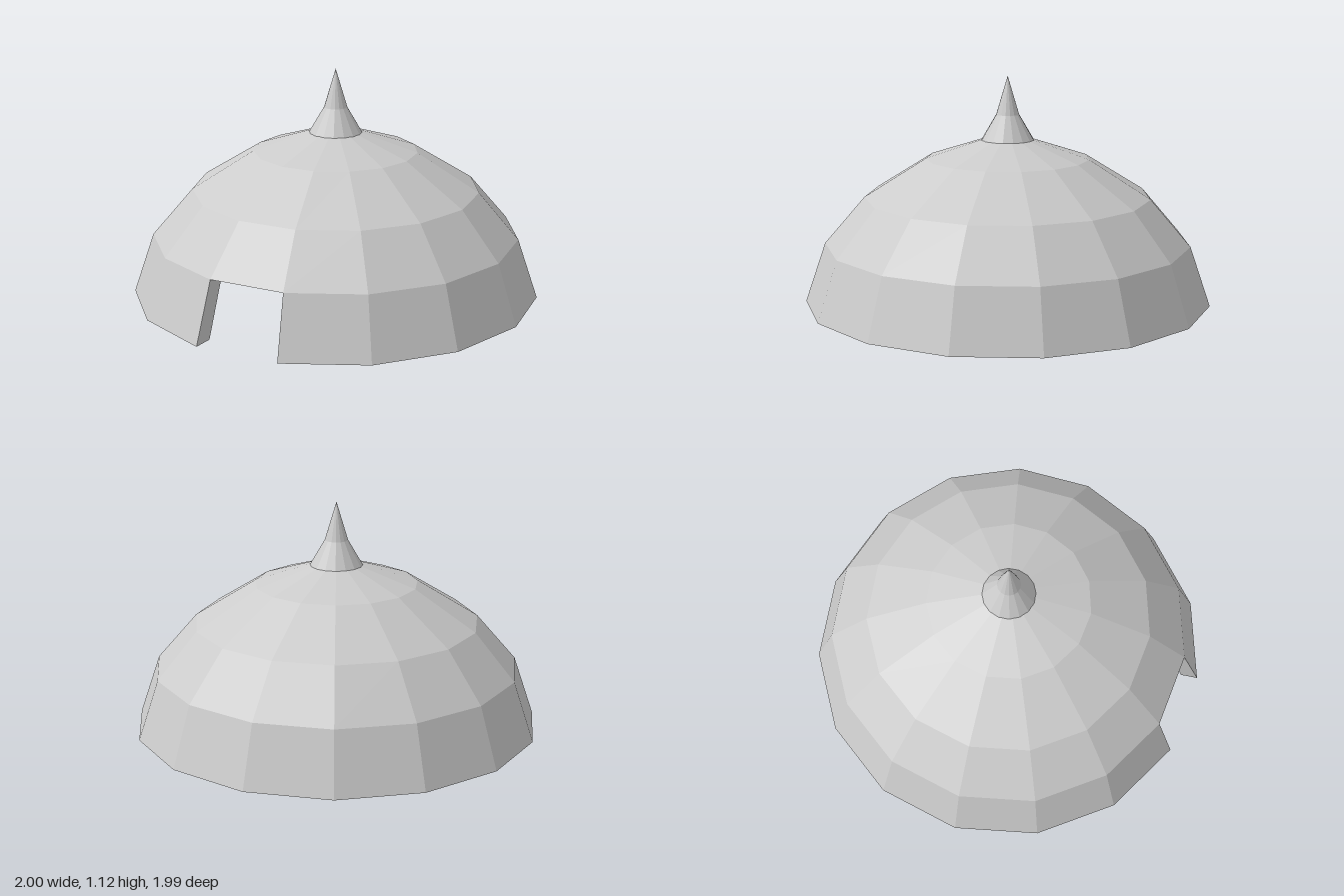
import * as THREE from 'three';

const SIDES = 15, DOOR = 7, Z0 = 0.011;

// [radius, height] rings from the ground to the crown
const OUTER = [[1.0055, 0], [0.905, 0.295], [0.707, 0.525], [0.403, 0.715], [0, 0.848]];
const INNER = [[0.92, 0.008], [0.835, 0.273], [0.655, 0.485], [0.37, 0.662], [0, 0.78]];

function ringPoint([r, y], i) {
  const a = (i / SIDES) * Math.PI * 2;
  return [r * Math.sin(a), y, -r * Math.cos(a)];
}

function domeGeometry() {
  const pos = [];
  const quad = (a, b, c, d, flip = false) => {
    const q = flip ? [d, c, b, a] : [a, b, c, d];
    pos.push(...q[0], ...q[1], ...q[2], ...q[0], ...q[2], ...q[3]);
  };
  const out = (k, i) => ringPoint(OUTER[k], i);
  const inn = (k, i) => ringPoint(INNER[k], i);

  for (let i = 0; i < SIDES; i++) {
    const j = i + 1;
    for (let k = 0; k < OUTER.length - 1; k++) {
      if (i === DOOR && k === 0) continue; // doorway panel left open
      quad(out(k, j), out(k, i), out(k + 1, i), out(k + 1, j));
      quad(inn(k, j), inn(k, i), inn(k + 1, i), inn(k + 1, j), true);
    }
    // underside of the wall, raised to a lintel above the doorway
    const k = i === DOOR ? 1 : 0;
    quad(out(k, i), out(k, j), inn(k, j), inn(k, i));
  }
  // door jambs
  for (const i of [DOOR, DOOR + 1]) {
    quad(out(0, i), inn(0, i), inn(1, i), out(1, i), i === DOOR);
  }

  const geo = new THREE.BufferGeometry();
  geo.setAttribute('position', new THREE.Float32BufferAttribute(pos, 3));
  geo.computeVertexNormals();
  return geo;
}

export function createModel() {
  const group = new THREE.Group();
  group.name = 'domedHut';
  const material = new THREE.MeshStandardMaterial({ color: 0xcccccc, flatShading: true });

  // thick faceted shell with a doorway at the front
  const dome = new THREE.Mesh(domeGeometry(), material);
  dome.name = 'domeShell';
  dome.position.z = Z0;
  group.add(dome);

  // pointed spire on the crown
  const profile = [[0, 0.805], [0.13, 0.805], [0.057, 0.93], [0, 1.12]]
    .map(([r, y]) => new THREE.Vector2(r, y));
  const spire = new THREE.Mesh(new THREE.LatheGeometry(profile, 16), material);
  spire.name = 'spire';
  spire.position.z = Z0;
  group.add(spire);

  return group;
}
